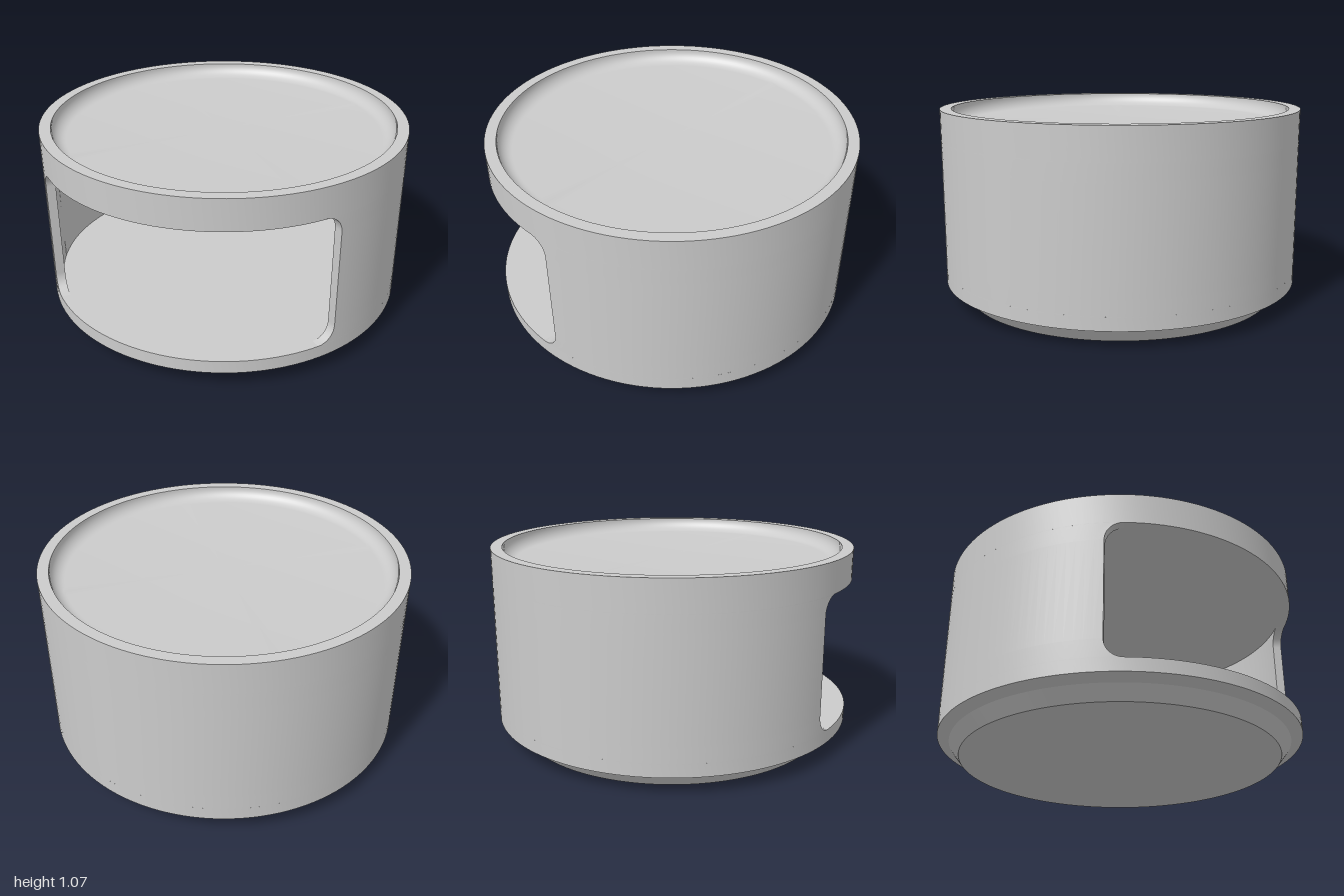
import * as THREE from 'three';
import { toCreasedNormals } from 'three/addons/utils/BufferGeometryUtils.js';

const SEGMENTS = 128;
const INNER = 0.95, OUTER = 1;           // wall radii
const FLOOR = 0.168, CEILING = 0.897;    // window sill and head
const TOP = 1.065, RIM = 0.938;          // rim height and its inner radius
const FILLET = 0.075;                    // rounding between rim and tray floor
const START = 0.921, END = 2 * Math.PI - 0.879; // wall runs round the back between these angles
const CORNER = 0.095;                    // window corner radius

const material = new THREE.MeshStandardMaterial({ color: 0xcccccc });

function mesh(name, geometry) {
  const m = new THREE.Mesh(geometry, material);
  m.name = name;
  return m;
}

// Solid of revolution with sharp edges kept
function turned(name, profile) {
  const points = profile.map(([r, y]) => new THREE.Vector2(r, y));
  return mesh(name, toCreasedNormals(new THREE.LatheGeometry(points, SEGMENTS), 0.3));
}

// Wall rows from sill to head: [height, how far the rounded corner reaches into the window]
function wallRows() {
  const rows = [[FLOOR - 0.004, CORNER]], steps = 8; // first row is sunk into the base
  for (let i = 0; i <= steps; i++) {
    const t = (i / steps) * Math.PI / 2;
    rows.push([FLOOR + CORNER * (1 - Math.cos(t)), CORNER * (1 - Math.sin(t))]);
  }
  const upper = rows.map(([y, inset]) => [FLOOR + CEILING - y, inset]).reverse();
  return [...rows, ...upper];
}

// Grid bent around the axis; place(u, inset) returns [angle, radius]
function bentSheet(name, columns, place) {
  const rows = wallRows(), last = rows.length - 1;
  const geometry = new THREE.PlaneGeometry(1, 1, columns, last);
  const pos = geometry.attributes.position;
  for (let i = 0; i < pos.count; i++) {
    const [y, inset] = rows[Math.round((pos.getY(i) + 0.5) * last)];
    const [angle, radius] = place(pos.getX(i) + 0.5, inset);
    pos.setXYZ(i, radius * Math.sin(angle), y, radius * Math.cos(angle));
  }
  geometry.computeVertexNormals();
  return mesh(name, geometry);
}

export function createModel() {
  const model = new THREE.Group();
  model.name = 'roundContainer';

  // Base with stepped chamfer and flat floor
  model.add(turned('base', [
    [0, 0], [0.88, 0.002], [0.936, 0.072], [OUTER, 0.097], [OUTER, FLOOR], [0, FLOOR],
  ]));

  // Top with rim and a shallow tray, rounded where it meets the rim
  const tray = [];
  for (let i = 0; i <= 10; i++) {
    const t = (i / 10) * Math.PI / 2;
    tray.push([RIM - FILLET * (1 - Math.cos(t)), TOP - FILLET * Math.sin(t)]);
  }
  model.add(turned('topTray', [
    [0, CEILING], [OUTER, CEILING], [OUTER, TOP], ...tray, [0, TOP - FILLET],
  ]));

  // Side wall, open at the front as a rounded window
  const around = (u, inset) => THREE.MathUtils.lerp(START - inset, END + inset, u);
  const across = (u) => THREE.MathUtils.lerp(INNER, OUTER, u);
  const wall = new THREE.Group();
  wall.name = 'sideWall';
  wall.add(
    bentSheet('wallOutside', 96, (u, inset) => [around(u, inset), OUTER]),
    bentSheet('wallInside', 96, (u, inset) => [around(1 - u, inset), INNER]),
    bentSheet('windowEdgeLeft', 1, (u, inset) => [START - inset, across(u)]),
    bentSheet('windowEdgeRight', 1, (u, inset) => [END + inset, across(1 - u)]),
  );
  model.add(wall);

  return model;
}
